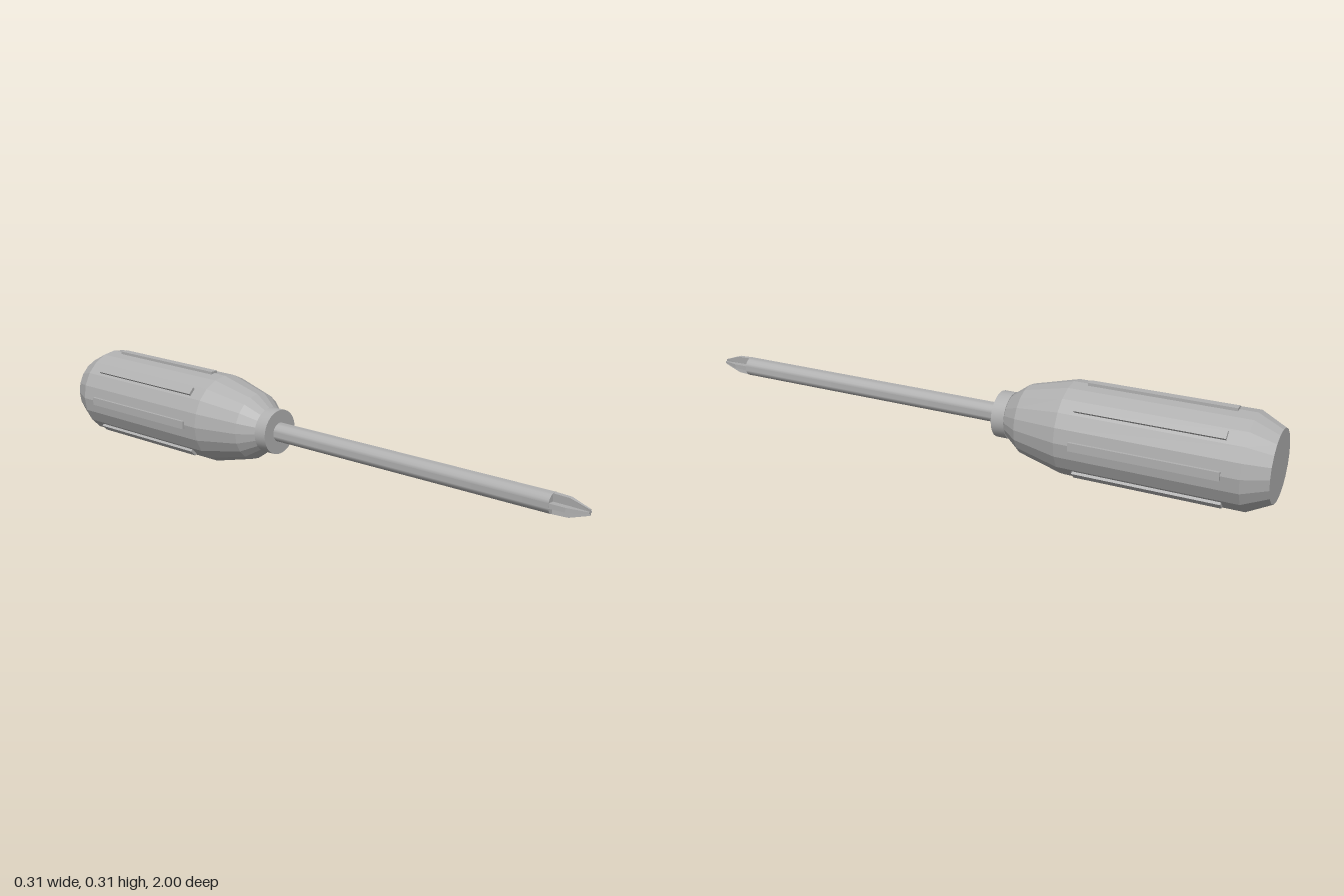
import * as THREE from 'three';
import { toCreasedNormals } from 'three/addons/utils/BufferGeometryUtils.js';

const AXIS_Y = 0.157;
const FLAT = 0.1, SMOOTH = 0.6; // crease angles

const grey = new THREE.MeshStandardMaterial({ color: 0xb0b0b0 });
grey.name = 'grey';

function add(parent, name, geometry) {
  const mesh = new THREE.Mesh(geometry, grey);
  mesh.name = name;
  parent.add(mesh);
  return mesh;
}

// Solid of revolution along z from [radius, z] pairs, listed back to front
function turned(profile, sides, crease) {
  const g = new THREE.LatheGeometry(profile.map(([r, z]) => new THREE.Vector2(r, z)), sides);
  g.rotateX(Math.PI / 2);
  return toCreasedNormals(g, crease);
}

// Cross-shaped section: wing radius, half wing width, inner corner
function crossSection([z, r, w, c]) {
  const points = [];
  for (let k = 0; k < 4; k++) {
    for (const [x, y] of [[r, -w], [r, w], [c, c]]) {
      points.push(new THREE.Vector3(x, y, z).applyAxisAngle(new THREE.Vector3(0, 0, 1), k * Math.PI / 2));
    }
  }
  return points;
}

// Four-winged tip lofted through cross sections, closed at the front
function crossTip(sections) {
  const rings = sections.map(crossSection);
  const n = rings[0].length;
  const corners = [];
  for (let i = 0; i < rings.length - 1; i++) {
    for (let j = 0; j < n; j++) {
      const a = rings[i][j], b = rings[i][(j + 1) % n];
      const c = rings[i + 1][(j + 1) % n], d = rings[i + 1][j];
      corners.push(a, b, c, a, c, d);
    }
  }
  const last = rings[rings.length - 1];
  const centre = new THREE.Vector3(0, 0, last[0].z);
  for (let j = 0; j < n; j++) corners.push(centre, last[j], last[(j + 1) % n]);
  const g = new THREE.BufferGeometry().setFromPoints(corners);
  g.computeVertexNormals();
  return g;
}

export function createModel() {
  const model = new THREE.Group();
  model.name = 'screwdriver';
  const tool = new THREE.Group();
  tool.name = 'tool';
  tool.position.y = AXIS_Y;
  model.add(tool);

  // Faceted grip
  add(tool, 'handle', turned([
    [0, -1], [0.112, -1], [0.15, -0.925], [0.15, -0.36],
    [0.112, -0.21], [0.068, -0.15], [0, -0.15],
  ], 20, FLAT));

  // Collar and shaft
  add(tool, 'collar', turned([[0, -0.157], [0.075, -0.157], [0.075, -0.113], [0, -0.113]], 32, SMOOTH));
  add(tool, 'shaft', turned([[0, -0.13], [0.032, -0.13], [0.032, 0.89], [0, 0.89]], 24, SMOOTH));

  // Cross tip
  add(tool, 'tip', crossTip([
    [0.885, 0.031, 0.008, 0.006],
    [0.94, 0.029, 0.007, 0.005],
    [1, 0.009, 0.003, 0.002],
  ]));

  // Eight raised grip ribs
  const ribs = new THREE.Group();
  ribs.name = 'gripRibs';
  tool.add(ribs);
  for (let i = 0; i < 8; i++) {
    const g = new THREE.BoxGeometry(0.02, 0.027, 0.46);
    g.translate(0.147, 0, -0.64);
    add(ribs, 'gripRib', g).rotation.z = i * Math.PI / 4;
  }
  return model;
}
